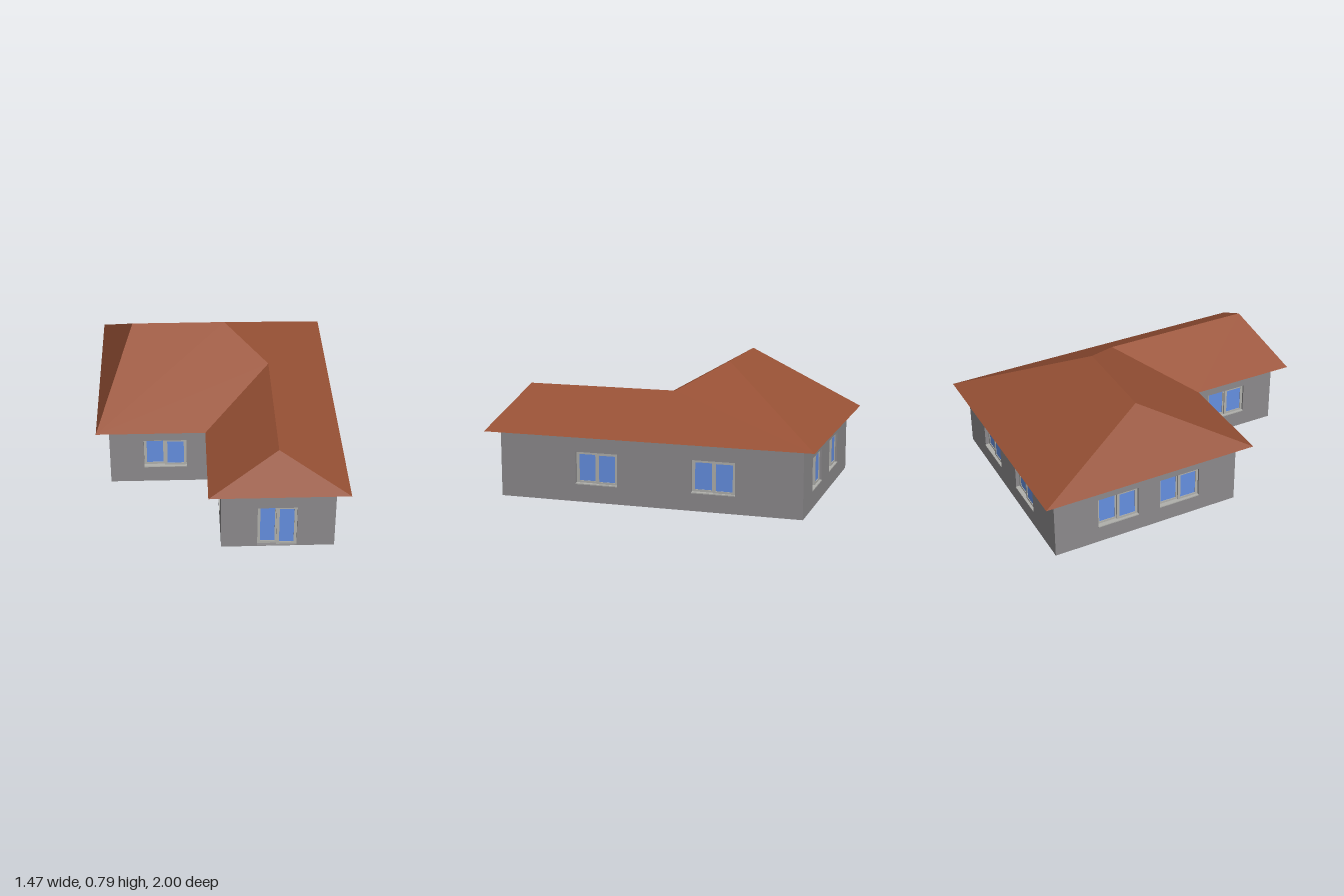
import * as THREE from 'three';

const material = (name, color) => new THREE.MeshStandardMaterial({ name, color });
const WALL_TOP = 0.405, DEPTH = 0.035, OVERHANG = 0.075;

// L-shaped footprint, grown outward by o, as [x, z] pairs
const footprint = (o) => [
  [-0.66 - o, -0.925 - o], [0.66 + o, -0.925 - o], [0.66 + o, 0.925 + o],
  [-o, 0.925 + o], [-o, 0.265 + o], [-0.66 - o, 0.265 + o],
];

export function createModel() {
  const house = new THREE.Group();
  house.name = 'house';
  const wallMat = material('wall grey', 0x8c8a8c);
  const roofMat = material('roof terracotta', 0x985135);
  const soffitMat = material('soffit olive', 0x9a986e);
  const floorMat = material('floor grey', 0x8a8a8a);
  const frameMat = material('frame light grey', 0xb0b0ac);
  const glassMat = material('glass blue', 0x658fe0);

  const add = (parent, name, geometry, mat, x = 0, y = 0, z = 0) => {
    const mesh = new THREE.Mesh(geometry, mat);
    mesh.name = name;
    mesh.position.set(x, y, z);
    parent.add(mesh);
    return mesh;
  };

  const rectangle = (Type, x0, y0, x1, y1) => {
    const r = new Type();
    r.moveTo(x0, y0);
    r.lineTo(x1, y0);
    r.lineTo(x1, y1);
    r.lineTo(x0, y1);
    r.closePath();
    return r;
  };

  // A sash: a rectangular frame around one pane, front at local z = 0
  const addSash = (parent, x, y, z, w, h) => {
    const rim = 0.017, thick = 0.012;
    const shape = rectangle(THREE.Shape, -w / 2, -h / 2, w / 2, h / 2);
    shape.holes.push(rectangle(THREE.Path, -w / 2 + rim, -h / 2 + rim, w / 2 - rim, h / 2 - rim));
    const geo = new THREE.ExtrudeGeometry(shape, { depth: thick, bevelEnabled: false });
    add(parent, 'sashFrame', geo, frameMat, x, y, z - thick);
    add(parent, 'glass', new THREE.BoxGeometry(w - 2 * rim, h - 2 * rim, 0.004), glassMat, x, y, z - 0.006);
  };

  // Recessed sliding window or door: two sashes, one in front of the other
  const addOpening = (parent, { u, w, y0, y1, door }) => {
    const unit = new THREE.Group();
    unit.name = door ? 'slidingDoor' : 'window';
    const h = y1 - y0, y = (y0 + y1) / 2, half = w / 2 + 0.004;
    addSash(unit, u - w / 2 + half / 2, y, -0.023, half, h);
    addSash(unit, u + w / 2 - half / 2, y, -0.012, half, h);
    if (!door) add(unit, 'sill', new THREE.BoxGeometry(w, 0.006, DEPTH + 0.004), frameMat, u, y0 + 0.001, -DEPTH / 2 + 0.002);
    parent.add(unit);
  };

  // A wall with openings; [x, z] is its left end as seen from outside
  const addWall = (name, [x, z], length, turn, openings) => {
    const wall = new THREE.Group();
    wall.name = name;
    const shape = rectangle(THREE.Shape, 0, 0, length, WALL_TOP);
    for (const { u, w, y0, y1 } of openings) {
      shape.holes.push(rectangle(THREE.Path, u - w / 2, y0, u + w / 2, y1));
    }
    const geo = new THREE.ExtrudeGeometry(shape, { depth: DEPTH, bevelEnabled: false });
    add(wall, name + 'Panel', geo, wallMat, 0, 0, -DEPTH);
    openings.forEach((o) => addOpening(wall, o));
    wall.position.set(x, 0, z);
    wall.rotation.y = turn;
    house.add(wall);
  };

  const win = (u) => ({ u, w: 0.262, y0: 0.108, y1: 0.302 });
  const door = { u: 0.325, w: 0.23, y0: 0.003, y1: 0.275, door: true };
  const q = Math.PI / 2;
  addWall('mainFrontWall', [-0.66, 0.265], 0.66, 0, [win(0.34)]);
  addWall('wingFrontWall', [0, 0.925], 0.66, 0, [door]);
  addWall('rightWall', [0.66, 0.925], 1.85, q, [win(0.6075), win(1.3225)]);
  addWall('backWall', [0.66, -0.925], 1.32, 2 * q, [win(0.38), win(0.8775)]);
  addWall('leftWall', [-0.66, -0.925], 1.19, -q, [win(0.4065), win(0.81)]);
  addWall('wingLeftWall', [0, 0.265], 0.66, -q, [win(0.325)]);

  // Flat floor and soffit, both facing down
  const slab = (name, o, y, mat) => {
    const shape = new THREE.Shape(footprint(o).map(([x, z]) => new THREE.Vector2(x, z)));
    add(house, name, new THREE.ShapeGeometry(shape).rotateX(q), mat, 0, y, 0);
  };
  slab('floor', 0, 0, floorMat);
  slab('soffit', OVERHANG, WALL_TOP, soffitMat);

  // Hipped roof: eave corners, then the two ridges
  const [A, B, C, D, E, F] = footprint(OVERHANG).map(([x, z]) => [x, WALL_TOP, z]);
  const P = [-0.515, 0.79, -0.33], Q = [0.063, 0.79, -0.33];
  const R = [0.3275, 0.638, -0.0675], S = [0.3275, 0.638, 0.865];
  const slopes = {
    backSlope: [A, P, Q, B],
    leftHip: [A, F, P],
    rightSlope: [B, Q, R, S, C],
    wingFrontHip: [D, C, S],
    wingLeftSlope: [E, D, S, R],
    mainFrontSlope: [F, E, R, Q, P],
  };
  const roof = new THREE.Group();
  roof.name = 'roof';
  for (const [name, corners] of Object.entries(slopes)) {
    const positions = [];
    for (let i = 1; i < corners.length - 1; i++) {
      positions.push(...corners[0], ...corners[i], ...corners[i + 1]);
    }
    const geo = new THREE.BufferGeometry();
    geo.setAttribute('position', new THREE.Float32BufferAttribute(positions, 3));
    geo.computeVertexNormals();
    add(roof, name, geo, roofMat);
  }
  house.add(roof);
  return house;
}
